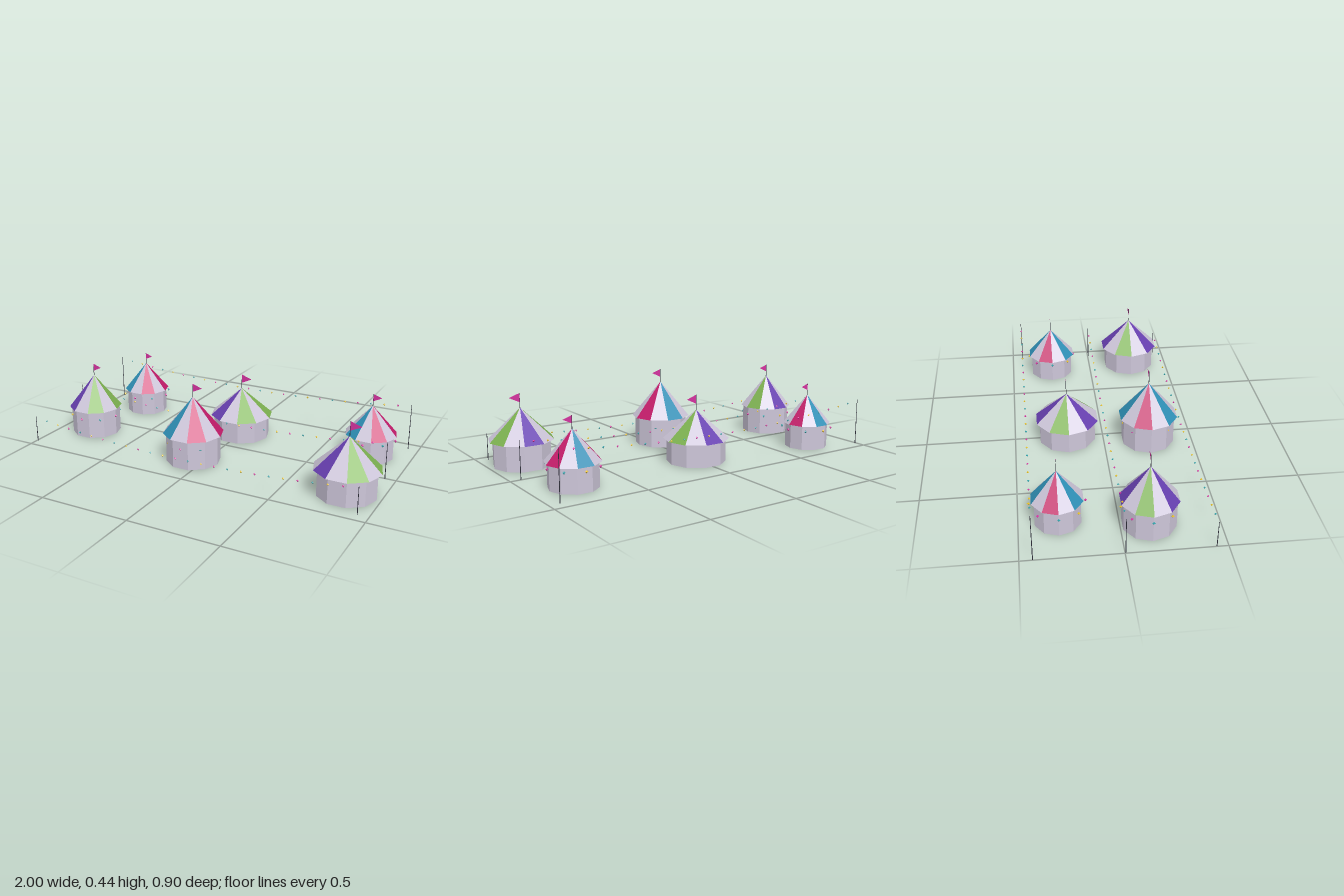
import * as THREE from 'three';

const mat = (name, color) => new THREE.MeshStandardMaterial({ name, color, flatShading: true, side: THREE.DoubleSide });

export function createModel() {
  const canvas = mat('canvas lilac', 0xcdc6d9);
  const magenta = mat('magenta', 0xc21c6a);
  const teal = mat('teal', 0x2f90b6);
  const green = mat('green', 0x7cb050);
  const purple = mat('purple', 0x673fb0);
  const pink = mat('flag pink', 0xd633a0);
  const lightTeal = mat('light teal', 0x30a0a8);
  const lightYellow = mat('light yellow', 0xecc428);
  const dark = mat('pole dark', 0x30303c);

  const root = new THREE.Group();
  root.name = 'tentCamp';
  const SIDES = 10;

  function add(parent, name, geometry, material, x = 0, y = 0, z = 0) {
    const mesh = new THREE.Mesh(geometry, material);
    mesh.name = name;
    mesh.position.set(x, y, z);
    parent.add(mesh);
    return mesh;
  }

  // Ten-sided cone, one material group per panel, from +x towards -z
  function roofGeometry(r, h) {
    const pos = [];
    const rim = (i) => {
      const a = (i / SIDES) * Math.PI * 2;
      return [r * Math.cos(a), 0, -r * Math.sin(a)];
    };
    const g = new THREE.BufferGeometry();
    for (let i = 0; i < SIDES; i++) {
      pos.push(0, h, 0, ...rim(i), ...rim(i + 1));
      g.addGroup(i * 3, 3, i % 4);
    }
    g.setAttribute('position', new THREE.Float32BufferAttribute(pos, 3));
    g.computeVertexNormals();
    return g;
  }

  // Triangular pennant, pointing to +x
  function flagGeometry(length, height) {
    const s = new THREE.Shape();
    s.moveTo(0, 0);
    s.lineTo(0, -height);
    s.lineTo(length, -height * 0.42);
    s.closePath();
    return new THREE.ShapeGeometry(s);
  }

  const beadColors = [pink, lightTeal, lightYellow];
  const ringBead = new THREE.OctahedronGeometry(0.0085);
  const stringBead = new THREE.OctahedronGeometry(0.0065);

  const warm = [magenta, canvas, teal, canvas];
  const cool = [green, canvas, purple, canvas];

  function tent({ x, z, roofR, wallR, eave, apex, top, stripes, beads }) {
    const t = new THREE.Group();
    t.name = 'tent';
    t.position.set(x, 0, z);
    root.add(t);

    const wall = new THREE.CylinderGeometry(wallR, wallR, eave, SIDES, 1, true).rotateY(Math.PI / 2);
    add(t, 'wall', wall, canvas, 0, eave / 2, 0);
    add(t, 'roof', roofGeometry(roofR, apex - eave), stripes, 0, eave, 0);
    // Underside of the roof
    add(t, 'roofUnderside', new THREE.CircleGeometry(roofR, SIDES).rotateX(Math.PI / 2), canvas, 0, eave, 0);

    // Slim tapered pole with its pennant
    const poleBase = apex - 0.01;
    add(t, 'flagPole', new THREE.CylinderGeometry(0.0008, 0.0018, top - poleBase, 6),
      dark, 0, (top + poleBase) / 2, 0);
    add(t, 'flag', flagGeometry(roofR * 0.34, roofR * 0.28), pink, 0, top, 0);

    // Ring of lights hung round the wall
    if (beads) {
      for (let i = 0; i < 8; i++) {
        const a = (i / 8) * Math.PI * 2;
        add(t, 'ringLight', ringBead, beadColors[i % 3], 0.14 * Math.cos(a), 0.112, -0.14 * Math.sin(a));
      }
    }
  }

  [
    { x: -0.722, z: -0.302, roofR: 0.135, wallR: 0.121, eave: 0.139, apex: 0.301, top: 0.366, stripes: warm, beads: true },
    { x: 0.002, z: -0.203, roofR: 0.18, wallR: 0.162, eave: 0.127, apex: 0.284, top: 0.366, stripes: cool },
    { x: 0.775, z: -0.25, roofR: 0.145, wallR: 0.13, eave: 0.132, apex: 0.294, top: 0.36, stripes: warm, beads: true },
    { x: -0.792, z: 0.145, roofR: 0.151, wallR: 0.139, eave: 0.156, apex: 0.344, top: 0.412, stripes: cool, beads: true },
    { x: -0.065, z: 0.25, roofR: 0.166, wallR: 0.149, eave: 0.163, apex: 0.364, top: 0.438, stripes: warm, beads: true },
    { x: 0.821, z: 0.258, roofR: 0.178, wallR: 0.157, eave: 0.141, apex: 0.313, top: 0.391, stripes: cool },
  ].forEach(tent);

  // Sagging rows of lights between pairs of slim posts
  const X0 = -0.996, X1 = 0.941, STEPS = 25;
  for (const [z, height] of [[0.443, 0.148], [0.004, 0.206], [-0.436, 0.264]]) {
    const row = new THREE.Group();
    row.name = 'lightRow';
    row.position.z = z;
    root.add(row);
    for (const x of [X0, X1]) {
      add(row, 'post', new THREE.CylinderGeometry(0.0014, 0.0022, height, 6), dark, x, height / 2, 0);
    }
    for (let i = 1; i < STEPS; i++) {
      const t = i / STEPS;
      const y = height - 0.006 - 4 * 0.062 * t * (1 - t);
      add(row, 'stringLight', stringBead, beadColors[i % 3], X0 + (X1 - X0) * t, y, 0);
    }
  }

  return root;
}
